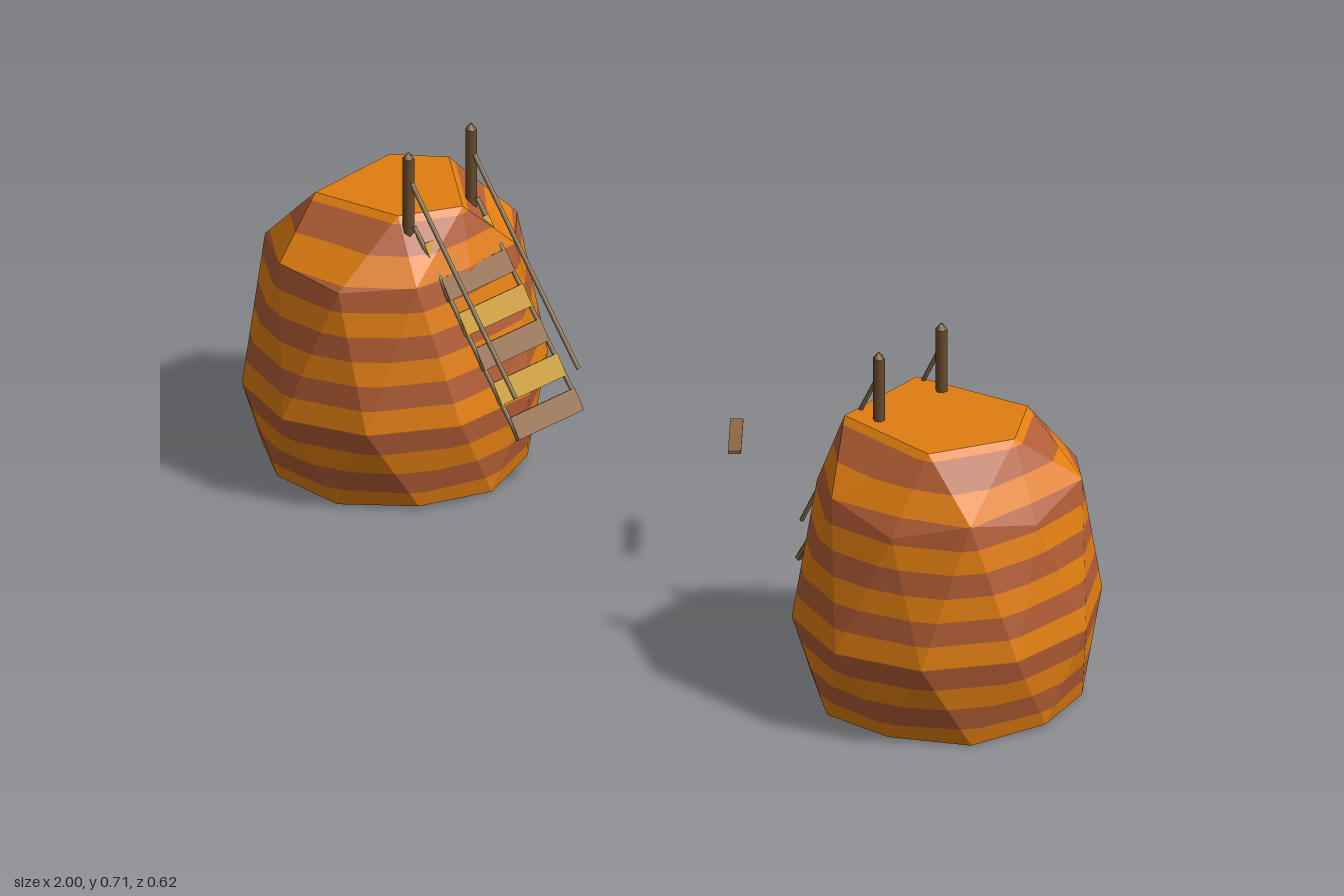
import * as THREE from 'three';

const mat = (name, color, extra = {}) => {
  const m = new THREE.MeshStandardMaterial({ color, ...extra });
  m.name = name;
  return m;
};

// Position on a ring around the rock axis; angle steps of 36 degrees
const polar = (cx, step, r, y) => {
  const a = step * Math.PI / 5;
  return [cx + r * Math.cos(a), y, r * Math.sin(a)];
};

// Keep the part of a polygon where sign * (y - h) >= 0
function clip(poly, h, sign) {
  const out = [];
  poly.forEach((p, i) => {
    const q = poly[(i + 1) % poly.length];
    const a = sign * (p[1] - h), b = sign * (q[1] - h);
    if (a >= 0) out.push(p);
    if (a * b < 0) {
      const t = a / (a - b);
      out.push(p.map((v, k) => v + (q[k] - v) * t));
    }
  });
  return out;
}

// Triangles of a faceted boulder: flat five-sided top, ten-sided waist, hollowed base
function rockTriangles({ cx, top, upperR, upperY, waistX, waistZ, baseR, baseY }) {
  const T = top.map(([x, z]) => [x, 0.565, z]);
  const U = upperR.map((r, i) => polar(cx, i, r, upperY[i % 2]));
  const E = upperR.map((_, i) => {
    const [x, y, z] = polar(0, i + 0.5, 1, 0.182);
    return [cx + x * waistX, y, z * waistZ];
  });
  const D = upperR.map((_, i) => polar(cx, i, baseR, baseY[i % 2]));
  const B = T.map((_, k) => polar(cx, 2 * k + 1, 0.145, 0.035));
  const P = [cx, 0.565, -0.01], Q = [cx, 0.06, 0];
  const at = (ring, i) => ring[(i + ring.length) % ring.length];
  const tris = [];
  for (let k = 0; k < 5; k++) {
    const i = 2 * k;
    tris.push([at(T, k + 1), T[k], P],
      [U[i + 1], U[i], T[k]], [at(U, i + 2), U[i + 1], at(T, k + 1)], [T[k], at(T, k + 1), U[i + 1]],
      [D[i], D[i + 1], B[k]], [D[i + 1], at(D, i + 2), B[k]], [at(B, k + 1), B[k], at(D, i + 2)],
      [B[k], at(B, k + 1), Q]);
  }
  for (let i = 0; i < 10; i++) {
    tris.push([U[i], at(U, i + 1), E[i]], [E[i], at(E, i - 1), U[i]],
      [at(E, i - 1), E[i], D[i]], [at(D, i + 1), D[i], E[i]]);
  }
  return tris;
}

// Boulder cut into level strata of two alternating colours
function makeRock(name, spec, materials) {
  const strata = [[], []];
  const tris = rockTriangles(spec);
  for (let b = 0; b < 13; b++) {
    const low = -0.006 + 0.0466 * b;
    for (const tri of tris) {
      const p = clip(clip(tri, low, 1), low + 0.0466, -1);
      for (let j = 1; j + 1 < p.length; j++) strata[b % 2].push(...p[0], ...p[j], ...p[j + 1]);
    }
  }
  const group = new THREE.Group();
  group.name = name;
  strata.forEach((pos, i) => {
    const g = new THREE.BufferGeometry();
    g.setAttribute('position', new THREE.Float32BufferAttribute(pos, 3));
    g.computeVertexNormals();
    const mesh = new THREE.Mesh(g, materials[i]);
    mesh.name = ['orangeStrata', 'rustStrata'][i];
    group.add(mesh);
  });
  return group;
}

// Straight round bar between two points
function bar(name, a, b, r, material) {
  const A = new THREE.Vector3(...a), B = new THREE.Vector3(...b);
  const mesh = new THREE.Mesh(new THREE.CylinderGeometry(r, r, A.distanceTo(B), 6), material);
  mesh.name = name;
  mesh.position.copy(A).lerp(B, 0.5);
  mesh.quaternion.setFromUnitVectors(new THREE.Vector3(0, 1, 0), B.sub(A).normalize());
  return mesh;
}

export function createModel() {
  const orange = mat('orange rock', 0xe07d10, { flatShading: true });
  const rust = mat('rust rock', 0xb05c34, { flatShading: true });
  const postWood = mat('post wood', 0x6b4c2e);
  const rope = mat('rope', 0x8a7450);
  const plankWood = mat('plank wood', 0x8f6844);
  const goldWood = mat('gold plank wood', 0xc29312);
  const model = new THREE.Group();
  model.name = 'brokenBridge';

  // Two boulders
  model.add(makeRock('rightRock', {
    cx: -0.735,
    top: [[-0.585, -0.03], [-0.645, 0.085], [-0.83, 0.12], [-0.84, -0.095], [-0.75, -0.165]],
    upperR: [0.2, 0.23, 0.25, 0.25, 0.25, 0.215, 0.25, 0.25, 0.265, 0.23],
    upperY: [0.45, 0.462], waistX: 0.279, waistZ: 0.31, baseR: 0.255, baseY: [0.004, 0.01],
  }, [orange, rust]));
  model.add(makeRock('leftRock', {
    cx: 0.72,
    top: [[0.865, -0.035], [0.79, 0.125], [0.56, 0.115], [0.545, -0.1], [0.785, -0.155]],
    upperR: [0.235, 0.25, 0.245, 0.25, 0.25, 0.235, 0.25, 0.25, 0.28, 0.26],
    upperY: [0.425, 0.462], waistX: 0.29, waistZ: 0.309, baseR: 0.26, baseY: [0.01, 0.002],
  }, [orange, rust]));

  // Hanging bridge ends, mirrored on x
  for (const s of [-1, 1]) {
    const span = new THREE.Group();
    span.name = s < 0 ? 'rightBridgeEnd' : 'leftBridgeEnd';
    for (const [z, zEnd] of [[-0.09, -0.132], [0.083, 0.042]]) {
      // Pointed post
      span.add(bar('post', [s * 0.62, 0.53, z], [s * 0.62, 0.696, z], 0.0115, postWood));
      const tip = new THREE.Mesh(new THREE.ConeGeometry(0.0115, 0.014, 6), postWood);
      tip.name = 'postTip';
      tip.position.set(s * 0.62, 0.703, z);
      span.add(tip);
      // Hand rope and deck rope
      span.add(bar('handRope', [s * 0.612, 0.645, z], [s * 0.377, 0.253, zEnd], 0.0045, rope));
      span.add(bar('deckRope', [s * 0.605, 0.555, z], [s * 0.37, 0.172, zEnd], 0.0045, rope));
    }
    // Deck planks down the slope
    for (let i = 0; i < 6; i++) {
      const t = 0.96 - i * 0.165;
      const plank = new THREE.Mesh(new THREE.BoxGeometry(0.046, 0.01, 0.178), i % 2 ? goldWood : plankWood);
      plank.name = 'plank';
      plank.position.set(s * (0.605 - 0.235 * t), 0.555 - 0.383 * t, -0.003 - 0.042 * t);
      plank.rotation.z = s * 1.02;
      span.add(plank);
    }
    model.add(span);
  }

  // Loose plank in the gap
  const loose = new THREE.Mesh(new THREE.BoxGeometry(0.14, 0.006, 0.025), plankWood);
  loose.name = 'loosePlank';
  loose.position.set(0.062, 0.27, -0.106);
  loose.rotation.y = -0.84;
  model.add(loose);
  return model;
}
